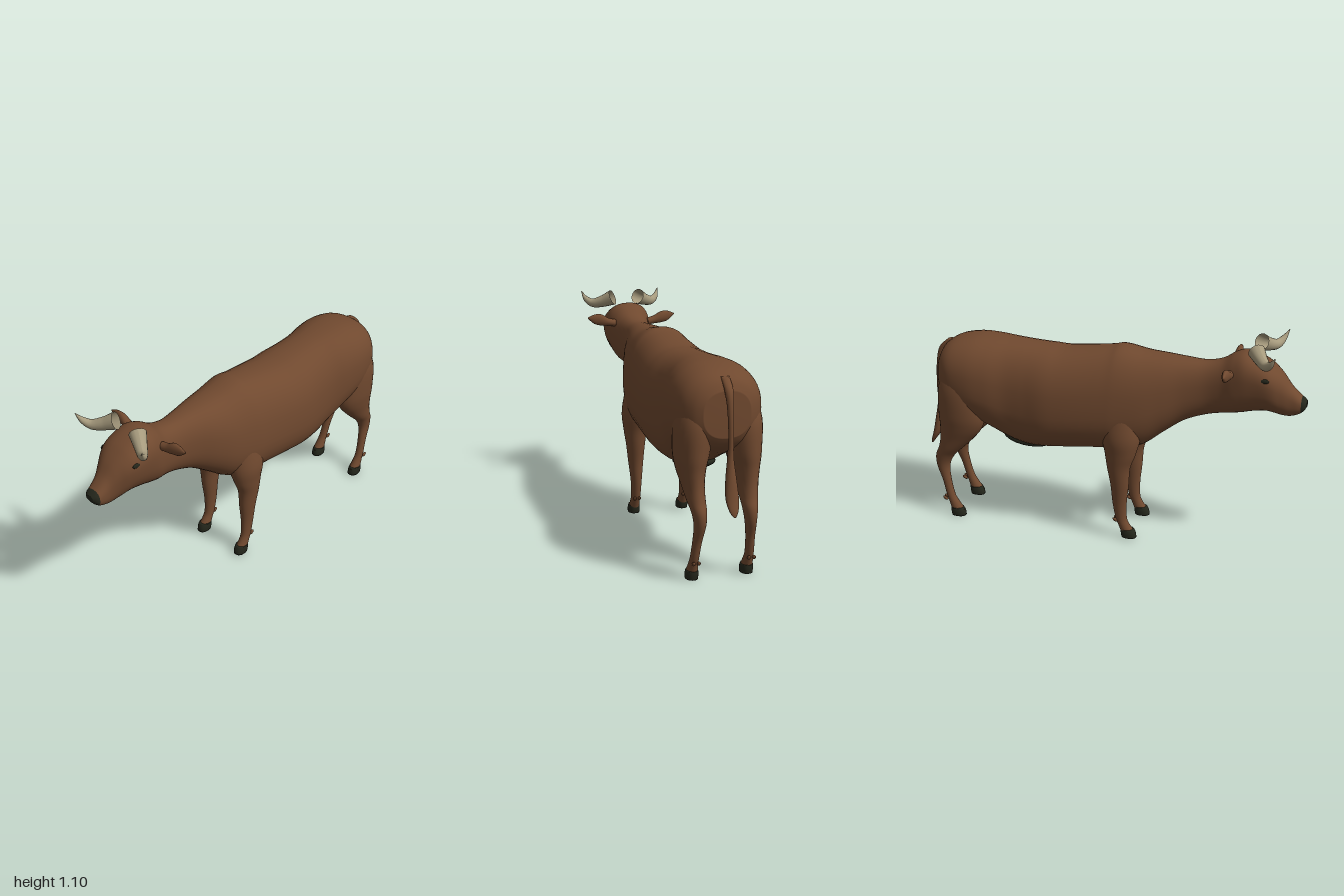
import * as THREE from 'three';

const flat = (name, color) => {
  const m = new THREE.MeshStandardMaterial({ color });
  m.name = name;
  return m;
};

// Smooth skin through oval stations [x, y, z, u, v, taper].
// Axis 'z' runs front to back, 'y' runs downwards, 'x' runs outwards.
function loft(stations, axis, { steps = 5, sides = 28, power = 2 } = {}) {
  const spline = (k, t) => {
    const i = Math.min(Math.floor(t), stations.length - 2), f = t - i;
    const at = n => stations[Math.max(0, Math.min(stations.length - 1, n))][k] || 0;
    const a = at(i - 1), b = at(i), c = at(i + 1), d = at(i + 2);
    return b + 0.5 * f * (c - a + f * (2 * a - 5 * b + 4 * c - d + f * (3 * (b - c) + d - a)));
  };
  const pos = [], index = [];
  const rings = (stations.length - 1) * steps + 1;
  const oval = c => Math.sign(c) * Math.pow(Math.abs(c), 2 / power);
  for (let i = 0; i < rings; i++) {
    const [x, y, z, u, v, taper] = [0, 1, 2, 3, 4, 5].map(k => spline(k, i / steps));
    for (let j = 0; j < sides; j++) {
      const a = (j / sides) * Math.PI * 2;
      const q = oval(Math.sin(a)), p = oval(Math.cos(a)) * (1 - taper * q);
      if (axis === 'z') pos.push(x + u * p, y + v * q, z);
      else if (axis === 'y') pos.push(x + u * p, y, z - v * q);
      else pos.push(x, y + u * p, z - v * q);
    }
  }
  for (let i = 0; i < rings - 1; i++) {
    for (let j = 0; j < sides; j++) {
      const a = i * sides + j, b = i * sides + (j + 1) % sides;
      index.push(a, a + sides, b, b, a + sides, b + sides);
    }
  }
  // End caps
  const last = (rings - 1) * sides, n = rings * sides;
  pos.push(...stations[0].slice(0, 3), ...stations[stations.length - 1].slice(0, 3));
  for (let j = 0; j < sides; j++) {
    const k = (j + 1) % sides;
    index.push(n, j, k, n + 1, last + k, last + j);
  }
  const g = new THREE.BufferGeometry();
  g.setAttribute('position', new THREE.Float32BufferAttribute(pos, 3));
  g.setIndex(index);
  g.computeVertexNormals();
  return g;
}

// Copy of a geometry reflected to the other side
function mirrored(geo) {
  const g = geo.clone().scale(-1, 1, 1);
  const ix = g.index.array;
  for (let i = 0; i < ix.length; i += 3) [ix[i], ix[i + 1]] = [ix[i + 1], ix[i]];
  g.computeVertexNormals();
  return g;
}

// Tube that narrows towards its end
function horn(points, radii) {
  const curve = new THREE.CatmullRomCurve3(points.map(p => new THREE.Vector3(...p)));
  const n = 24, sides = 16;
  const g = new THREE.TubeGeometry(curve, n, 1, sides);
  const p = g.attributes.position, v = new THREE.Vector3();
  for (let i = 0; i <= n; i++) {
    const c = curve.getPointAt(i / n);
    const t = (i / n) * (radii.length - 1), k = Math.min(Math.floor(t), radii.length - 2);
    const r = THREE.MathUtils.lerp(radii[k], radii[k + 1], t - k);
    for (let j = 0; j <= sides; j++) {
      const id = i * (sides + 1) + j;
      v.fromBufferAttribute(p, id).sub(c).multiplyScalar(r).add(c);
      p.setXYZ(id, v.x, v.y, v.z);
    }
  }
  g.computeVertexNormals();
  return g;
}

const ball = (x, y, z, rx, ry, rz, tilt = 0) =>
  new THREE.SphereGeometry(1, 20, 14).scale(rx, ry, rz).rotateX(tilt).translate(x, y, z);

export function createModel() {
  const root = new THREE.Group();
  const hide = flat('brown hide', 0x70492f);
  const dark = flat('dark skin', 0x24261b);
  const bone = flat('horn', 0xa69a7d);
  bone.side = THREE.DoubleSide;

  const add = (name, geo, mat) => {
    const m = new THREE.Mesh(geo, mat);
    m.name = name;
    root.add(m);
    return m;
  };
  const pair = (name, geo, mat) => {
    add('left' + name, geo, mat);
    add('right' + name, mirrored(geo), mat);
  };

  // Head, neck and trunk: z, top, bottom, half width, taper
  const trunk = [
    [1.0, 0.812, 0.785, 0.022, 0], [0.985, 0.825, 0.762, 0.04, 0],
    [0.96, 0.845, 0.743, 0.047, 0], [0.92, 0.885, 0.73, 0.055, -0.05],
    [0.88, 0.935, 0.732, 0.073, -0.15], [0.84, 0.972, 0.742, 0.096, -0.2],
    [0.8, 1.0, 0.748, 0.11, -0.2], [0.74, 1.028, 0.74, 0.117, -0.15],
    [0.69, 1.04, 0.728, 0.118, -0.1], [0.64, 1.025, 0.72, 0.11, 0],
    [0.58, 0.988, 0.71, 0.092, 0], [0.5, 0.97, 0.69, 0.086, 0],
    [0.4, 0.975, 0.65, 0.105, 0], [0.3, 0.982, 0.58, 0.14, 0.04],
    [0.2, 0.99, 0.505, 0.17, 0.08], [0.08, 1.01, 0.465, 0.19, 0.1],
    [0, 0.996, 0.465, 0.197, 0.1], [-0.2, 0.972, 0.445, 0.21, 0.06],
    [-0.3, 0.974, 0.435, 0.212, 0.05], [-0.4, 0.98, 0.432, 0.2, 0.04],
    [-0.5, 0.988, 0.455, 0.194, 0.02], [-0.6, 0.995, 0.505, 0.207, 0],
    [-0.7, 0.995, 0.55, 0.212, 0], [-0.8, 0.975, 0.595, 0.195, 0],
    [-0.86, 0.94, 0.635, 0.155, 0], [-0.89, 0.89, 0.68, 0.11, 0],
  ].map(([z, top, bottom, w, k]) => [0, (top + bottom) / 2, z, w, (top - bottom) / 2, k]);
  const steps = 6, sides = 40;
  const body = loft(trunk, 'z', { steps, sides, power: 2.4 });
  // The front rings and front cap form the dark muzzle
  const noseCount = 9 * sides * 6, wall = (trunk.length - 1) * steps * sides * 6;
  body.addGroup(0, noseCount, 1);
  body.addGroup(noseCount, wall - noseCount, 0);
  for (let j = 0; j < sides * 2; j++) body.addGroup(wall + j * 3, 3, j % 2 ? 0 : 1);
  add('body', body, [hide, dark]);

  // Front legs
  pair('FrontLeg', loft([
    [0.115, 0.74, 0.1, 0.055, 0.08], [0.122, 0.58, 0.1, 0.08, 0.1],
    [0.135, 0.48, 0.1, 0.06, 0.08], [0.137, 0.4, 0.092, 0.048, 0.06],
    [0.135, 0.3, 0.097, 0.038, 0.047], [0.133, 0.2, 0.097, 0.028, 0.037],
    [0.133, 0.12, 0.105, 0.024, 0.03], [0.134, 0.08, 0.12, 0.024, 0.03],
    [0.134, 0.042, 0.142, 0.028, 0.036],
  ], 'y'), hide);

  // Hind legs with thighs
  pair('HindLeg', loft([
    [0.1, 0.88, -0.74, 0.07, 0.09], [0.115, 0.74, -0.76, 0.09, 0.12],
    [0.125, 0.6, -0.757, 0.08, 0.128], [0.13, 0.52, -0.765, 0.064, 0.115],
    [0.129, 0.45, -0.795, 0.05, 0.088], [0.126, 0.39, -0.833, 0.042, 0.064],
    [0.122, 0.34, -0.868, 0.034, 0.05], [0.122, 0.28, -0.88, 0.027, 0.036],
    [0.128, 0.2, -0.862, 0.022, 0.024], [0.133, 0.12, -0.842, 0.021, 0.023],
    [0.134, 0.08, -0.825, 0.023, 0.027], [0.134, 0.036, -0.803, 0.028, 0.036],
  ], 'y'), hide);

  // Hooves and dewclaws
  for (const [name, z, y] of [['Front', 0.142, 0.012], ['Hind', -0.805, 0.003]]) {
    pair(name + 'Hoof', loft([
      [0.134, y + 0.045, z - 0.003, 0.027, 0.034], [0.134, y + 0.025, z + 0.002, 0.03, 0.039],
      [0.134, y, z + 0.006, 0.029, 0.039],
    ], 'y', { steps: 3, power: 2.3 }), dark);
    for (const x of [0.122, 0.146]) {
      pair(name + 'Dewclaw', ball(x, y + 0.093, z - 0.064, 0.008, 0.009, 0.016, 0.5), hide);
    }
  }

  // Tail with tuft
  add('tail', loft([
    [0, 0.95, -0.85, 0.02, 0.02], [0, 0.9, -0.9, 0.02, 0.02],
    [0, 0.82, -0.925, 0.015, 0.015], [0, 0.7, -0.935, 0.012, 0.013],
    [0, 0.6, -0.932, 0.015, 0.015], [0, 0.5, -0.942, 0.026, 0.022],
    [0, 0.42, -0.96, 0.031, 0.02], [0, 0.37, -0.984, 0.021, 0.011],
    [0, 0.345, -0.996, 0.005, 0.004],
  ], 'y', { sides: 18 }), hide);

  // Udder
  add('udder', ball(0, 0.452, -0.44, 0.1, 0.034, 0.135, 0.14), dark);

  // Ears
  pair('Ear', loft([
    [0.09, 0.942, 0.63, 0.02, 0.022], [0.13, 0.95, 0.63, 0.022, 0.022],
    [0.17, 0.963, 0.628, 0.031, 0.02], [0.21, 0.969, 0.628, 0.026, 0.013],
    [0.246, 0.977, 0.628, 0.004, 0.004],
  ], 'x', { sides: 18 }), hide);

  // Eyes
  pair('Eye', ball(0.108, 0.93, 0.8, 0.008, 0.012, 0.024), dark);

  // Horns, open at the base
  pair('Horn', horn([
    [0.072, 1.065, 0.752], [0.12, 1.042, 0.782], [0.17, 1.03, 0.815],
    [0.203, 1.05, 0.84], [0.224, 1.092, 0.865],
  ], [0.042, 0.033, 0.026, 0.016, 0.001]), bone);

  return root;
}
